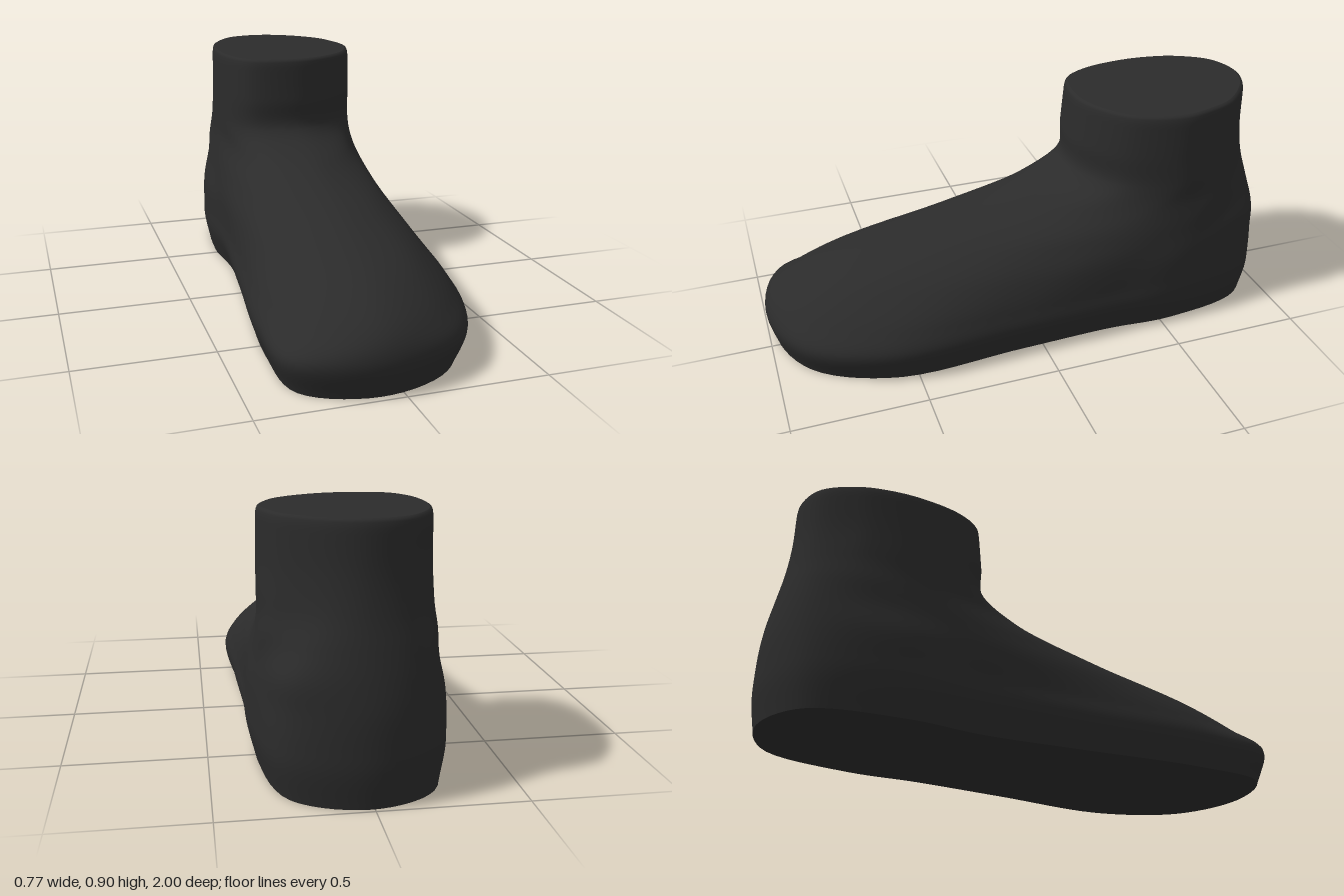
import * as THREE from 'three';

// Horizontal sections: [y, back z, front z, toe tip x], then half widths on the +x and -x sides
const SECTIONS = [
  [[0, -0.985, 0.975, -0.08], [0.25, 0.33, 0.32, 0.33, 0.34, 0.19], [0.21, 0.28, 0.265, 0.30, 0.35, 0.32]],
  [[0.12, -1, 1, -0.08], [0.27, 0.355, 0.36, 0.372, 0.372, 0.22], [0.22, 0.31, 0.302, 0.335, 0.382, 0.35]],
  [[0.2, -1, 0.965, -0.07], [0.27, 0.355, 0.355, 0.36, 0.335, 0.17], [0.22, 0.31, 0.30, 0.32, 0.345, 0.26]],
  [[0.3, -0.995, 0.81, -0.05], [0.26, 0.35, 0.35, 0.335, 0.27, 0.13], [0.21, 0.305, 0.30, 0.30, 0.28, 0.19]],
  [[0.4, -0.98, 0.46, -0.02], [0.25, 0.33, 0.34, 0.31, 0.225, 0.11], [0.19, 0.275, 0.287, 0.275, 0.22, 0.13]],
  [[0.5, -0.96, 0.05, 0], [0.19, 0.305, 0.328, 0.31, 0.21, 0.09], [0.16, 0.25, 0.27, 0.265, 0.205, 0.11]],
  [[0.6, -0.94, -0.2, 0], [0.14, 0.27, 0.312, 0.325, 0.255, 0.12], [0.13, 0.22, 0.25, 0.265, 0.24, 0.16]],
  [[0.72, -0.925, -0.215, 0], [0.13, 0.265, 0.305, 0.325, 0.26, 0.13], [0.12, 0.21, 0.245, 0.262, 0.238, 0.17]],
  [[0.87, -0.92, -0.228, 0], [0.13, 0.262, 0.303, 0.324, 0.262, 0.13], [0.12, 0.21, 0.243, 0.258, 0.236, 0.17]],
];
// Where the widths sit along each section, heel to toe
const STATIONS = [0.05, 0.22, 0.36, 0.55, 0.8, 0.95];
const AROUND = 96;
const UP = 64;

// Control points of one section, running heel, +x side, toe, -x side
function sectionPoints([[y, back, front, tip], left, right]) {
  const point = (x, u) => new THREE.Vector3(
    x, y > 0.8 ? y - 0.016 * u : y, THREE.MathUtils.lerp(back, front, u));
  const plus = STATIONS.map((u, i) => point(left[i], u));
  const minus = STATIONS.map((u, i) => point(-right[i], u)).reverse();
  return [point(0.01, 0), ...plus, point(tip, 1), ...minus];
}

// Smooth closed ring through control points
function smoothRing(points) {
  const curve = new THREE.CatmullRomCurve3(points, true);
  return Array.from({ length: AROUND }, (_, i) => curve.getPoint(i / AROUND));
}

function ringCentre(ring) {
  return ring.reduce((s, p) => s.add(p), new THREE.Vector3()).divideScalar(ring.length);
}

// Copy of a ring drawn inward and raised
function insetRing(ring, scale, lift) {
  const c = ringCentre(ring);
  return ring.map((p) => new THREE.Vector3(
    c.x + (p.x - c.x) * scale, p.y + lift, c.z + (p.z - c.z) * scale));
}

function toGeometry(points, index) {
  const g = new THREE.BufferGeometry().setFromPoints(points);
  g.setIndex(index);
  g.computeVertexNormals();
  return g;
}

// Outer skin joining successive rings
function skin(rings) {
  const index = [];
  for (let j = 0; j < rings.length - 1; j++) {
    for (let i = 0; i < AROUND; i++) {
      const a = j * AROUND + i;
      const b = j * AROUND + (i + 1) % AROUND;
      index.push(a, a + AROUND, b, b, a + AROUND, b + AROUND);
    }
  }
  return toGeometry(rings.flat(), index);
}

// Flat cap closing a ring
function cap(ring, facesUp) {
  const index = [];
  for (let i = 0; i < AROUND; i++) {
    const n = (i + 1) % AROUND;
    index.push(AROUND, facesUp ? n : i, facesUp ? i : n);
  }
  return toGeometry([...ring, ringCentre(ring)], index);
}

export function createModel() {
  const group = new THREE.Group();
  group.name = 'foot';
  const material = new THREE.MeshStandardMaterial({ color: 0x2b2b2b });
  const add = (name, geometry) => {
    const mesh = new THREE.Mesh(geometry, material);
    mesh.name = name;
    group.add(mesh);
  };

  // Smooth the sections vertically, column by column
  const sections = SECTIONS.map(sectionPoints);
  const columns = sections[0].map((_, i) =>
    new THREE.CatmullRomCurve3(sections.map((s) => s[i])));
  const rings = [];
  for (let j = 0; j <= UP; j++) {
    rings.push(smoothRing(columns.map((c) => c.getPoint(j / UP))));
  }

  // Rounded rim at the top of the ankle
  const last = rings[UP];
  rings.push(insetRing(last, 0.992, 0.018), insetRing(last, 0.98, 0.026), insetRing(last, 0.955, 0.03));

  add('footAndAnkle', skin(rings));
  add('sole', cap(rings[0], false));
  add('ankleTop', cap(rings[rings.length - 1], true));
  return group;
}
